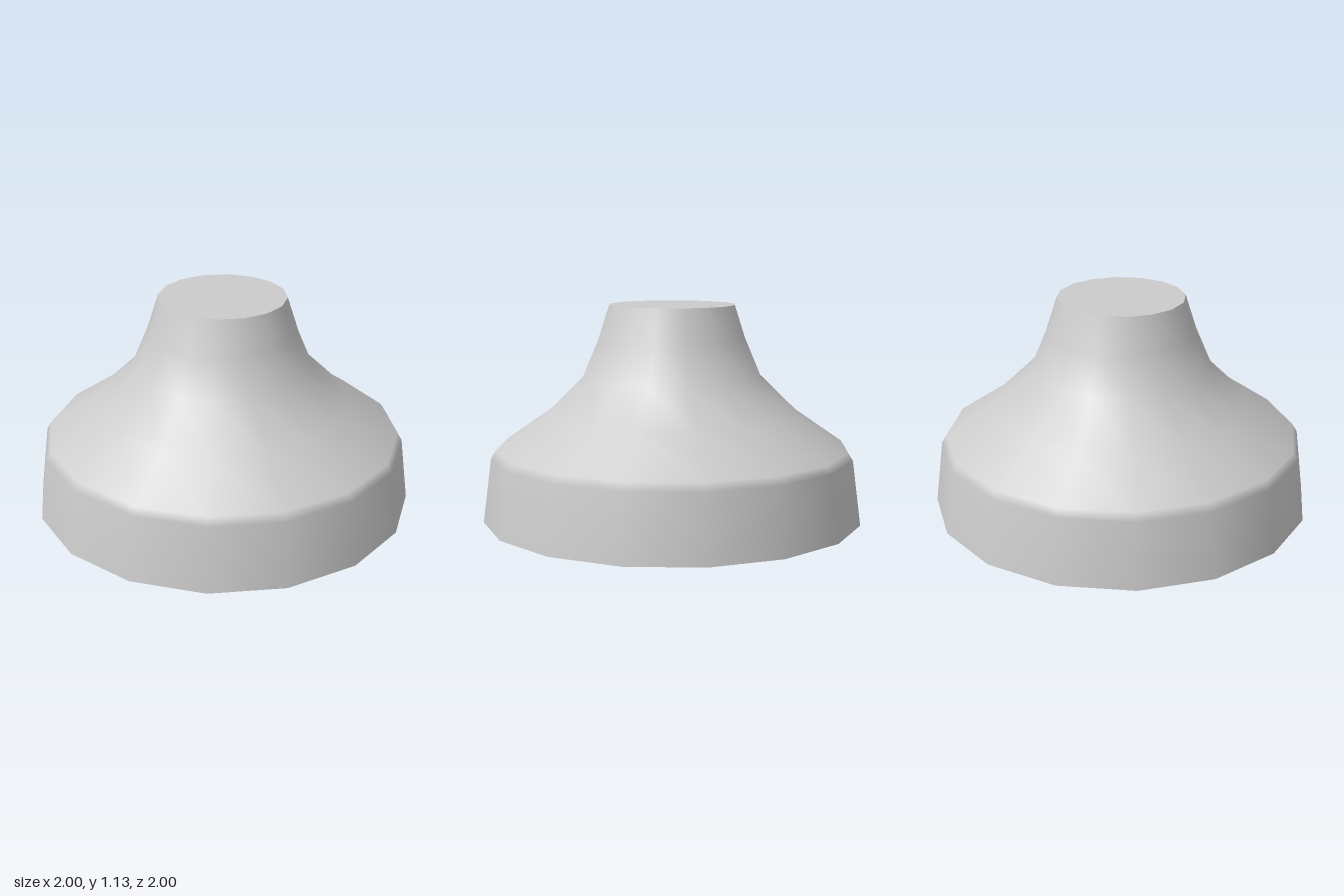
import * as THREE from 'three';

const SIDES = 16;

// Each section is its own lathe, so edges between sections stay sharp.
// Profiles run from the underside centre, outwards, up and back to the axis.
const SECTIONS = {
  recessFloor: [[0, 0.135], [0.605, 0.135]],
  recessWall: [[0.605, 0.135], [0.78, 0]],
  baseRing: [[0.78, 0], [1, 0]],
  flaredBody: [
    [1, 0], [0.955, 0.34], [0.93, 0.38], [0.67, 0.56],
    [0.475, 0.75], [0.39, 0.95], [0.332, 1.13],
  ],
  topCap: [[0.332, 1.13], [0, 1.13]],
};

export function createModel() {
  const group = new THREE.Group();
  group.name = 'flaredPedestal';
  const material = new THREE.MeshStandardMaterial({ color: 0xcccccc });

  for (const [name, profile] of Object.entries(SECTIONS)) {
    const points = profile.map(([r, y]) => new THREE.Vector2(r, y));
    const mesh = new THREE.Mesh(new THREE.LatheGeometry(points, SIDES), material);
    mesh.name = name;
    group.add(mesh);
  }
  return group;
}
